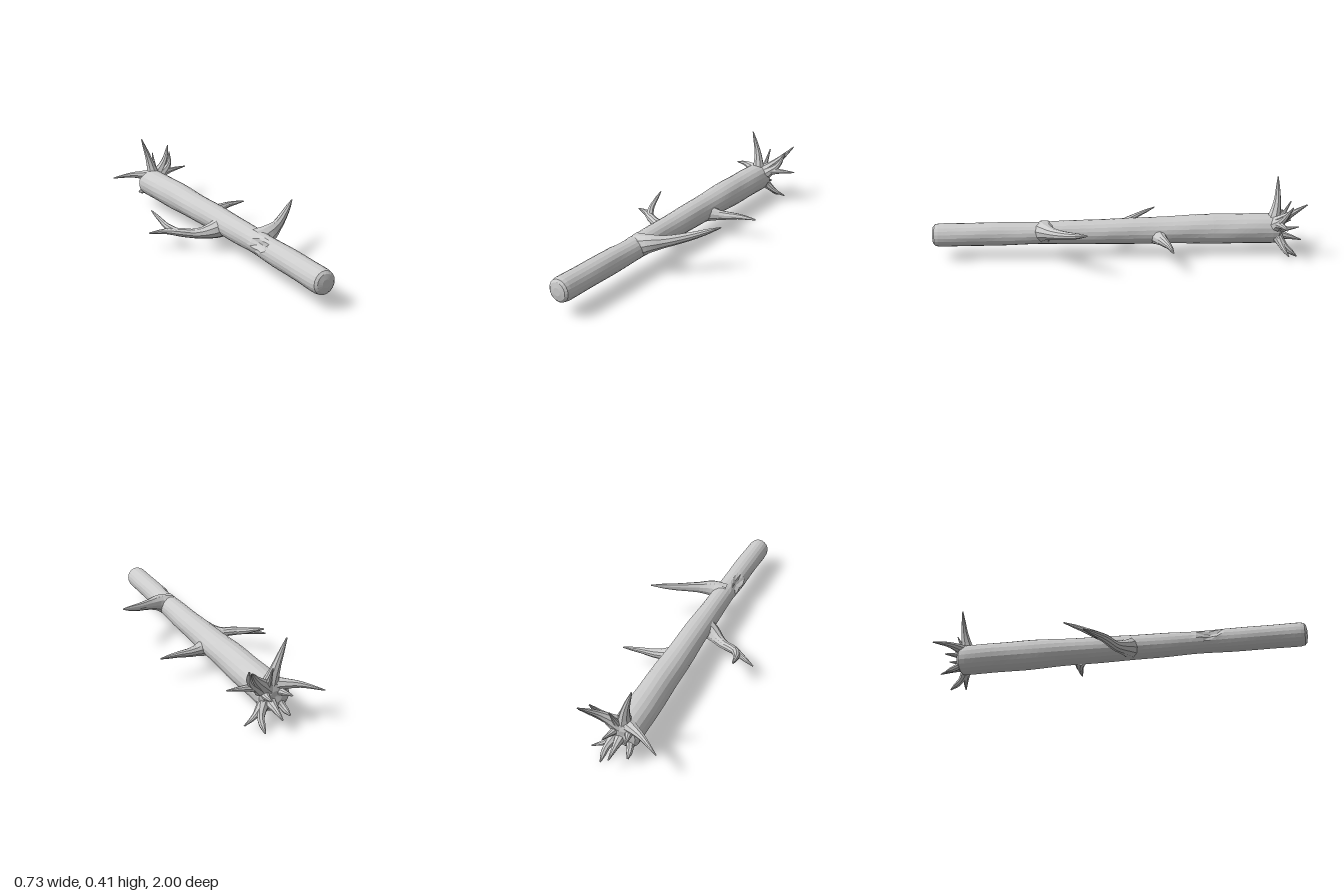
import * as THREE from 'three';

const bark = new THREE.MeshStandardMaterial({ color: 0xcccccc, flatShading: true });
const V = (x, y, z) => new THREE.Vector3(x, y, z);

// Linear lookup in a list of [position, ...values] sorted by position
function sample(table, t, k) {
  for (let i = 1; i < table.length; i++) {
    const a = table[i - 1], b = table[i];
    if (t <= b[0]) return THREE.MathUtils.lerp(a[k], b[k], Math.max(0, (t - a[0]) / (b[0] - a[0])));
  }
  return table[table.length - 1][k];
}

// Tapered limb: a tube along a curve, with each ring scaled to its own radius
function limb(name, points, radii, sides = 9, rings = 16) {
  const curve = new THREE.CatmullRomCurve3(points.map(p => V(...p)));
  const geo = new THREE.TubeGeometry(curve, rings, 1, sides);
  const pos = geo.attributes.position, v = V(0, 0, 0);
  for (let i = 0; i <= rings; i++) {
    const t = i / rings, c = curve.getPointAt(t);
    const f = t * (radii.length - 1), j = Math.min(Math.floor(f), radii.length - 2);
    const r = THREE.MathUtils.lerp(radii[j], radii[j + 1], f - j);
    for (let s = 0; s <= sides; s++) {
      const n = i * (sides + 1) + s;
      v.fromBufferAttribute(pos, n).sub(c).multiplyScalar(r).add(c);
      pos.setXYZ(n, v.x, v.y, v.z);
    }
  }
  geo.computeVertexNormals();
  const mesh = new THREE.Mesh(geo, bark);
  mesh.name = name;
  return mesh;
}

// Trunk: a lathe laid along z, then bent, roughened and scarred
function makeTrunk() {
  // z, radius, centre x, centre y
  const shape = [
    [-0.86, 0.081, -0.003, 0.142], [-0.7, 0.082, -0.003, 0.145], [-0.5, 0.08, 0.002, 0.147],
    [-0.2, 0.073, 0.005, 0.147], [0.1, 0.067, 0.008, 0.146], [0.4, 0.06, 0.01, 0.145],
    [0.6, 0.062, 0.004, 0.143], [0.96, 0.062, 0, 0.141], [1, 0.06, 0, 0.141],
  ];
  const profile = [[0, -0.88], [0.03, -0.885], [0.06, -0.88], [0.078, -0.865]].map(p => new THREE.Vector2(...p));
  for (let z = -0.83; z < 0.955; z += 0.036) profile.push(new THREE.Vector2(sample(shape, z, 1), z));
  [[0.061, 0.965], [0.057, 0.985], [0.045, 0.995], [0.02, 1], [0, 1]].forEach(p => profile.push(new THREE.Vector2(...p)));

  const geo = new THREE.LatheGeometry(profile, 20).rotateX(Math.PI / 2);
  const pos = geo.attributes.position;
  for (let i = 0; i < pos.count; i++) {
    const x = pos.getX(i), y = pos.getY(i), z = pos.getZ(i), a = Math.atan2(y, x);
    let k = 1 + 0.015 * Math.sin(9 * z + 2 * Math.cos(a)) + 0.015 * Math.sin(3 * Math.sin(a) + 17 * z);
    // Oval hollow with a raised rim on the upper right side
    const d = Math.hypot((z - 0.5) / 0.075, Math.acos(Math.cos(a - 2.65)) / 0.55);
    if (d < 1) k -= 0.4 * (1 - d * d);
    else if (d < 1.6) k += 0.06 * (1.6 - d);
    pos.setXYZ(i, x * k + sample(shape, z, 2), y * k + sample(shape, z, 3), z);
  }
  geo.computeVertexNormals();
  const mesh = new THREE.Mesh(geo, bark);
  mesh.name = 'trunk';
  return mesh;
}

export function createModel() {
  const group = new THREE.Group();
  group.name = 'fallenLog';
  group.add(makeTrunk());

  // Side branches, flared where they leave the trunk
  group.add(
    limb('leftFrontBranch',
      [[0.01, 0.15, 0.4], [0.07, 0.172, 0.395], [0.15, 0.188, 0.35], [0.25, 0.213, 0.27], [0.362, 0.252, 0.175]],
      [0.065, 0.046, 0.031, 0.025, 0.02, 0.014, 0.003], 10, 20),
    limb('leftBackBranch',
      [[0.01, 0.13, -0.2], [0.07, 0.125, -0.215], [0.14, 0.125, -0.235], [0.22, 0.132, -0.25], [0.318, 0.131, -0.262]],
      [0.065, 0.042, 0.028, 0.022, 0.016, 0.011, 0.003], 10, 18),
    limb('rightBranch',
      [[0, 0.14, 0.08], [-0.06, 0.117, 0.065], [-0.14, 0.097, 0.02], [-0.22, 0.105, -0.02], [-0.28, 0.108, -0.06], [-0.362, 0.098, -0.103]],
      [0.06, 0.048, 0.033, 0.025, 0.024, 0.018, 0.012, 0.003], 10, 20),
    limb('rightBranchFork',
      [[-0.23, 0.105, -0.025], [-0.262, 0.125, -0.085], [-0.275, 0.148, -0.14], [-0.29, 0.18, -0.222]],
      [0.022, 0.019, 0.014, 0.01, 0.003], 8, 12),
  );

  // Splayed roots at the back end: start, middle, tip, base radius
  const roots = [
    [[0.01, 0.18, -0.84], [-0.012, 0.29, -0.862], [-0.055, 0.42, -0.87], 0.043],
    [[-0.02, 0.19, -0.85], [-0.11, 0.192, -0.9], [-0.212, 0.17, -0.962], 0.035],
    [[0.03, 0.18, -0.86], [0.036, 0.25, -0.895], [0.04, 0.31, -0.925], 0.024],
    [[0.03, 0.18, -0.85], [0.11, 0.255, -0.9], [0.172, 0.332, -0.977], 0.04],
    [[0.06, 0.18, -0.85], [0.125, 0.235, -0.87], [0.15, 0.308, -0.91], 0.036],
    [[0.03, 0.18, -0.85], [0.12, 0.2, -0.858], [0.24, 0.212, -0.866], 0.036],
    [[0.03, 0.13, -0.85], [0.1, 0.065, -0.88], [0.164, 0.036, -0.9], 0.036],
    [[0.04, 0.12, -0.85], [0.08, 0.06, -0.9], [0.087, 0.01, -0.96], 0.036],
    [[0.02, 0.12, -0.85], [0.02, 0.1, -0.93], [0.02, 0.08, -0.998], 0.036],
    [[-0.02, 0.13, -0.84], [-0.04, 0.085, -0.89], [-0.05, 0.063, -0.94], 0.036],
    [[-0.02, 0.16, -0.85], [-0.04, 0.165, -0.91], [-0.05, 0.17, -0.955], 0.03],
    [[0.04, 0.15, -0.85], [0.055, 0.16, -0.92], [0.062, 0.17, -0.97], 0.028],
  ];
  const rootGroup = new THREE.Group();
  rootGroup.name = 'roots';
  roots.forEach(([a, b, c, r], i) => {
    const blunt = i === 7 || i === 9;
    const radii = blunt ? [r, r * 0.7, r * 0.5, r * 0.42, r * 0.1] : [r, r * 0.68, r * 0.45, r * 0.28, 0.003];
    rootGroup.add(limb(`root${i + 1}`, [a, b, c], radii, 8, 12));
  });
  group.add(rootGroup);
  return group;
}
